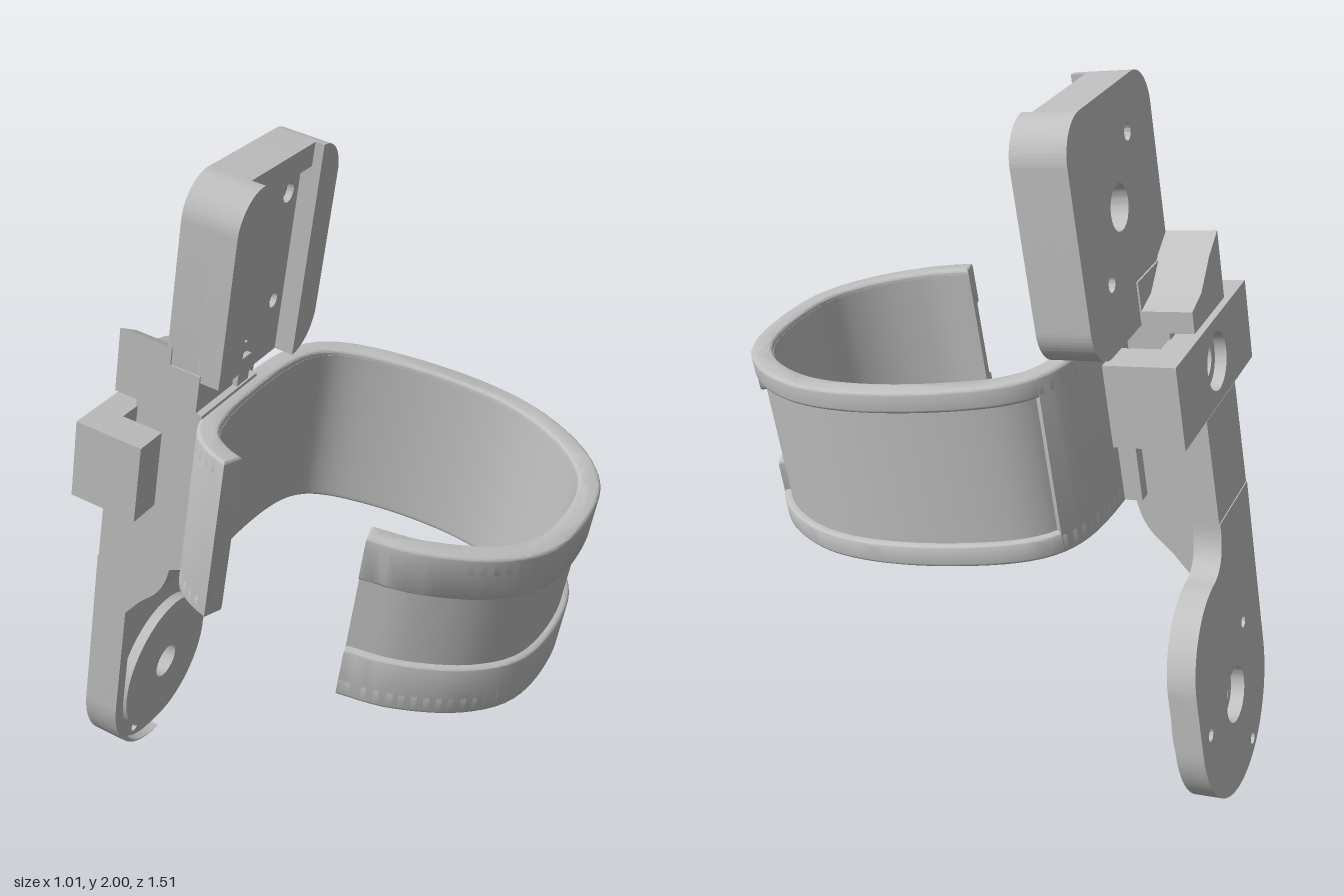
import * as THREE from 'three';
import { toCreasedNormals } from 'three/addons/utils/BufferGeometryUtils.js';

const grey = new THREE.MeshStandardMaterial({ color: 0xc0c0c0 });
grey.name = 'grey plastic';

export function createModel() {
  const model = new THREE.Group();
  model.name = 'armCuffBracket';
  // everything is built upright, then pitched and turned as one
  model.rotation.set(0.165, 0.165, 0, 'YXZ');

  const add = (name, geo) => {
    const mesh = new THREE.Mesh(toCreasedNormals(geo, 0.6), grey);
    mesh.name = name;
    model.add(mesh);
    return mesh;
  };
  const extrude = (shape, depth, bevel = 0) => {
    const geo = new THREE.ExtrudeGeometry(shape, {
      depth: depth - 2 * bevel, curveSegments: 28,
      bevelEnabled: bevel > 0, bevelSize: bevel, bevelThickness: bevel, bevelOffset: -bevel, bevelSegments: 4,
    });
    return geo.translate(0, 0, bevel);
  };
  // plate drawn in x-y, reaching from z0 to z1
  const slab = (name, shape, z0, z1, bevel = 0) => add(name, extrude(shape, z1 - z0, bevel).translate(0, 0, z0));
  const box = (name, x0, x1, y0, y1, z0, z1) => add(name, new THREE.BoxGeometry(x1 - x0, y1 - y0, z1 - z0)
    .toNonIndexed().translate((x0 + x1) / 2, (y0 + y1) / 2, (z0 + z1) / 2));
  const drill = (shape, ...holes) => {
    for (const [x, y, r] of holes) shape.holes.push(new THREE.Path().absarc(x, y, r, 0, Math.PI * 2, true));
    return shape;
  };
  // rectangle with its own radius for each corner
  const roundRect = (x0, y0, x1, y1, bl = 0, br = 0, tr = 0, tl = 0) => {
    const s = new THREE.Shape();
    s.moveTo(x0 + bl, y0).lineTo(x1 - br, y0);
    if (br) s.absarc(x1 - br, y0 + br, br, -Math.PI / 2, 0);
    s.lineTo(x1, y1 - tr);
    if (tr) s.absarc(x1 - tr, y1 - tr, tr, 0, Math.PI / 2);
    s.lineTo(x0 + tl, y1);
    if (tl) s.absarc(x0 + tl, y1 - tl, tl, Math.PI / 2, Math.PI);
    s.lineTo(x0, y0 + bl);
    if (bl) s.absarc(x0 + bl, y0 + bl, bl, Math.PI, Math.PI * 1.5);
    return s;
  };

  // ---- open cuff: bands swept along one outline seen from above ----
  const outline = new THREE.CatmullRomCurve3([
    [-0.442, 0.13], [-0.41, 0.265], [-0.305, 0.437], [-0.165, 0.53], [0.15, 0.53], [0.305, 0.437],
    [0.42, 0.265], [0.46, 0.09], [0.448, -0.142], [0.388, -0.345], [0.318, -0.425], [0.2, -0.467],
    [-0.2, -0.467], [-0.315, -0.425], [-0.368, -0.355], [-0.388, -0.3],
  ].map(([x, z]) => new THREE.Vector3(x, 0, z)));
  const band = (name, f0, f1, inset, thickness, y0, y1, bevel = 0.01) => {
    const outer = [], inner = [];
    const steps = Math.ceil(80 * (f1 - f0)) + 2;
    for (let i = 0; i <= steps; i++) {
      const f = f0 + (f1 - f0) * i / steps;
      const p = outline.getPointAt(f), t = outline.getTangentAt(f);
      const at = (d) => new THREE.Vector2(p.x + t.z * d, -(p.z - t.x * d));
      outer.push(at(inset));
      inner.unshift(at(inset + thickness));
    }
    const geo = extrude(new THREE.Shape([...outer, ...inner]), y1 - y0, bevel);
    add(name, geo.rotateX(-Math.PI / 2).translate(0, y0, 0));
  };
  band('cuffPanel', 0, 1, 0.02, 0.041, 0.81, 1.285, 0);
  band('cuffLowerRim', 0, 1, 0, 0.06, 0.793, 0.855);
  band('cuffUpperRim', 0, 1, 0, 0.06, 1.24, 1.3);
  band('cuffFrontLowerBand', 0, 0.33, 0, 0.055, 0.793, 0.945);
  band('cuffFrontUpperBand', 0, 0.33, 0, 0.055, 1.17, 1.3);
  band('cuffBack', 0.705, 1, 0, 0.06, 0.793, 1.3);

  // ---- lower round plate ----
  const HX = 0.028, HY = 0.183;
  const lowerOutline = () => {
    const s = new THREE.Shape();
    s.moveTo(-0.25, 0.72).lineTo(-0.25, 0.182);
    s.absarc(0.035, 0.182, 0.285, Math.PI, Math.PI * 2);
    s.lineTo(0.32, 0.36);
    s.absarc(0.09, 0.36, 0.23, 0, Math.PI / 2);
    s.quadraticCurveTo(0, 0.6, 0, 0.72);
    return s;
  };
  const screws = [[HX - 0.125, HY + 0.165, 0.018], [HX + 0.22, HY + 0.02, 0.018], [HX - 0.1, HY - 0.225, 0.018]];
  slab('lowerPlateBack', drill(lowerOutline(), [HX, HY, 0.08], ...screws), -0.73, -0.69);
  slab('lowerPlateFront', drill(lowerOutline(), [HX, HY, 0.055], ...screws), -0.69, -0.65);
  const disc = new THREE.Shape().absarc(HX, HY, 0.225, 0, Math.PI * 2);
  slab('lowerDisc', drill(disc, [HX, HY, 0.055]), -0.651, -0.618);
  // raised lip along the straight side, fading out under the disc
  const lip = new THREE.Shape();
  lip.moveTo(-0.25, 0.62).lineTo(-0.25, 0.182);
  lip.absarc(0.035, 0.182, 0.285, Math.PI, Math.PI * 1.5);
  lip.quadraticCurveTo(-0.2, -0.09, -0.21, 0.182);
  lip.lineTo(-0.21, 0.48).lineTo(-0.095, 0.48).lineTo(-0.095, 0.62);
  slab('lowerLip', lip, -0.66, -0.622);

  // ---- stem, thickening towards the cuff (drawn from the side) ----
  const side = new THREE.Shape();
  side.moveTo(0.729, 0.52).lineTo(0.724, 1.03).lineTo(0.65, 1.03).lineTo(0.65, 1.28).lineTo(0.45, 1.28).lineTo(0.45, 0.8);
  side.lineTo(0.495, 0.78);
  side.bezierCurveTo(0.51, 0.66, 0.56, 0.66, 0.6, 0.59);
  side.quadraticCurveTo(0.63, 0.55, 0.645, 0.52);
  add('stem', extrude(side, 0.25).rotateY(Math.PI / 2).translate(-0.25, 0, 0));
  box('cuffMount', -0.25, 0.04, 0.8, 1.31, -0.53, -0.45);

  // ---- cross beam: stepped bore in the back, a leg at each end ----
  const beam = (r) => drill(roundRect(-0.42, 1.03, 0.171, 1.262), [-0.13, 1.146, r]);
  slab('beamBack', beam(0.08), -0.723, -0.69);
  slab('beamFront', beam(0.05), -0.69, -0.645);
  box('beamRightLeg', -0.42, -0.32, 1.03, 1.262, -0.646, -0.525);
  box('beamLeftLeg', 0.06, 0.171, 1.03, 1.262, -0.646, -0.525);

  // ---- neck between beam and upper plate ----
  const neck = new THREE.Shape([[-0.25, 1.28], [0, 1.28], [0, 1.34], [-0.08, 1.36], [-0.17, 1.43], [-0.25, 1.47]]
    .map(([x, y]) => new THREE.Vector2(x, y)));
  slab('neckBack', neck, -0.718, -0.56);
  box('neckFront', -0.25, 0, 1.26, 1.42, -0.58, -0.47);

  // ---- upper plate with a shallow pocket in front ----
  const X0 = -0.245, X1 = 0.318, Y0 = 1.302, Y1 = 1.932, CX = 0.043, CY = 1.637, R = 0.11;
  const upper = () => roundRect(X0, Y0, X1, Y1, 0.02, R, R, R);
  const through = [[CX - 0.11, CY + 0.16, 0.022], [CX + 0.11, CY - 0.16, 0.022]];
  const blind = [[CX + 0.11, CY + 0.16, 0.028], [CX - 0.11, CY - 0.16, 0.028]];
  slab('upperPlateBack', drill(upper(), [CX, CY, 0.06], ...through), -0.575, -0.52);
  slab('upperPlateWeb', drill(upper(), ...through), -0.52, -0.505);
  slab('pocketFloor', drill(upper(), ...through, ...blind), -0.505, -0.485);
  slab('leftUpperWall', roundRect(0.207, Y0, X1, Y1, 0, R, R, 0), -0.486, -0.428);
  slab('rightUpperWall', roundRect(X0, 1.4, -0.13, Y1, 0, 0, 0, R), -0.486, -0.415);
  box('pocketTopWall', -0.13, 0.207, 1.865, Y1, -0.486, -0.455);
  box('pocketBottomTab', -0.06, 0, Y0, 1.39, -0.486, -0.455);

  return model;
}
